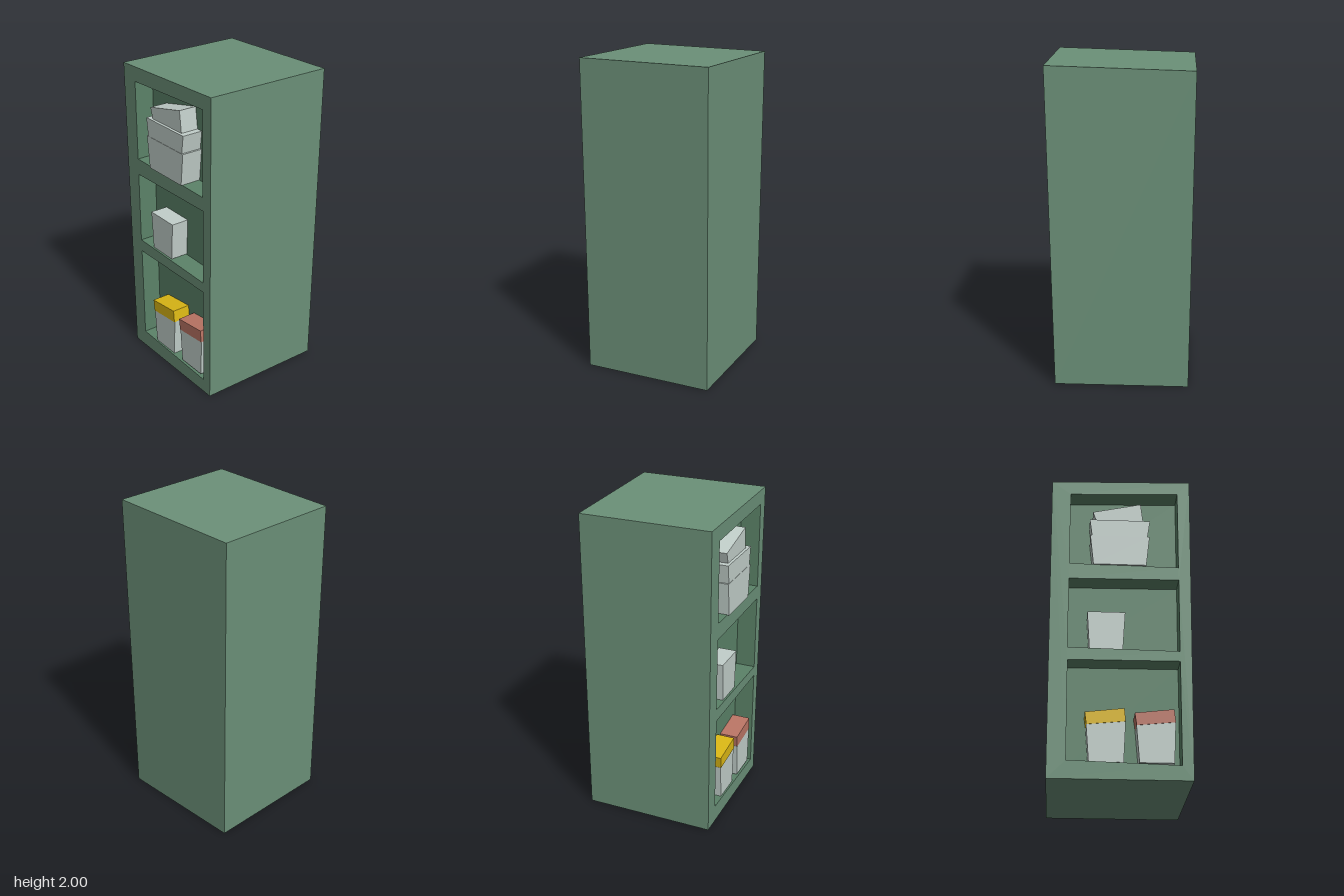
import * as THREE from 'three';

const FRONT = 0.41, BACK = -0.42, ALCOVE_BACK = 0.285;

// Outlines are four corners, counter-clockwise from bottom left
const OUTLINE = [[-0.425, 0], [0.41, 0], [0.44, 2], [-0.44, 1.975]];
const ALCOVES = {
  lowerAlcove: [[-0.315, 0.11], [0.345, 0.09], [0.35, 0.735], [-0.318, 0.73]],
  middleAlcove: [[-0.32, 0.81], [0.35, 0.8], [0.355, 1.283], [-0.32, 1.275]],
  upperAlcove: [[-0.32, 1.38], [0.355, 1.37], [0.36, 1.908], [-0.32, 1.885]],
};

const material = (color) => new THREE.MeshStandardMaterial({ color, flatShading: true });
const green = material(0x6b9078);
const darkGreen = material(0x5b8268);
const pale = material(0xc2cfca);
const yellow = material(0xdcb815);
const red = material(0xbb7565);

const toVectors = (points) => points.map(([x, y]) => new THREE.Vector2(x, y));

function mesh(name, geometry, mat) {
  const m = new THREE.Mesh(geometry, mat);
  m.name = name;
  return m;
}

// Flat quads, each four corners counter-clockwise seen from its front
function quads(list) {
  const positions = list.flatMap(([a, b, c, d]) => [a, b, c, a, c, d].flat());
  const g = new THREE.BufferGeometry();
  g.setAttribute('position', new THREE.Float32BufferAttribute(positions, 3));
  g.computeVertexNormals();
  return g;
}

// Walls around an outline, closed at the back; inward flips the faces
function tray(outline, zFront, zBack, inward) {
  const f = outline.map(([x, y]) => [x, y, zFront]);
  const b = outline.map(([x, y]) => [x, y, zBack]);
  const faces = [[b[3], b[2], b[1], b[0]]];
  for (let i = 0; i < 4; i++) {
    const j = (i + 1) % 4;
    faces.push([f[i], b[i], b[j], f[j]]);
  }
  return quads(inward ? faces.map((q) => q.reverse()) : faces);
}

// A slightly crooked block standing in an alcove
function block(name, outline, mat, zFront = 0.4) {
  const g = new THREE.ExtrudeGeometry(new THREE.Shape(toVectors(outline)), {
    depth: zFront - ALCOVE_BACK, bevelEnabled: false,
  });
  g.translate(0, 0, ALCOVE_BACK);
  return mesh(name, g, mat);
}

export function createModel() {
  const model = new THREE.Group();
  model.name = 'shelfUnit';

  // Cabinet: sides and back, then the front frame with three openings
  model.add(mesh('cabinet', tray(OUTLINE, FRONT, BACK, false), green));
  const face = new THREE.Shape(toVectors(OUTLINE));
  for (const [name, outline] of Object.entries(ALCOVES)) {
    face.holes.push(new THREE.Path(toVectors(outline)));
    model.add(mesh(name, tray(outline, FRONT, ALCOVE_BACK, true), darkGreen));
  }
  const frame = mesh('frontFrame', new THREE.ShapeGeometry(face), green);
  frame.position.z = FRONT;
  model.add(frame);

  // Two lidded jars at the bottom
  [['Left', 0.29, red], ['Right', 0, yellow]].forEach(([side, dx, lidMat]) => {
    const jar = new THREE.Group();
    jar.name = 'jar' + side;
    jar.add(block('jarBody', [[-0.187, 0.105], [0.013, 0.105], [0.025, 0.352], [-0.203, 0.33]], pale));
    jar.add(block('jarLid', [[-0.202, 0.33], [0.025, 0.352], [0.018, 0.432], [-0.212, 0.405]], lidMat, 0.403));
    jar.position.x = dx;
    model.add(jar);
  });

  // Single cup in the middle
  model.add(block('cup', [[-0.19, 0.81], [0.01, 0.81], [0.025, 1.055], [-0.205, 1.055]], pale));

  // Stack of three tubs at the top
  const stack = new THREE.Group();
  stack.name = 'tubStack';
  stack.add(
    block('lowerTub', [[-0.172, 1.375], [0.155, 1.375], [0.178, 1.58], [-0.193, 1.58]], pale, 0.42),
    block('middleTub', [[-0.182, 1.58], [0.165, 1.58], [0.182, 1.695], [-0.197, 1.695]], pale, 0.418),
    block('upperTub', [[-0.155, 1.695], [0.14, 1.695], [0.125, 1.83], [-0.177, 1.762]], pale),
  );
  model.add(stack);
  return model;
}
